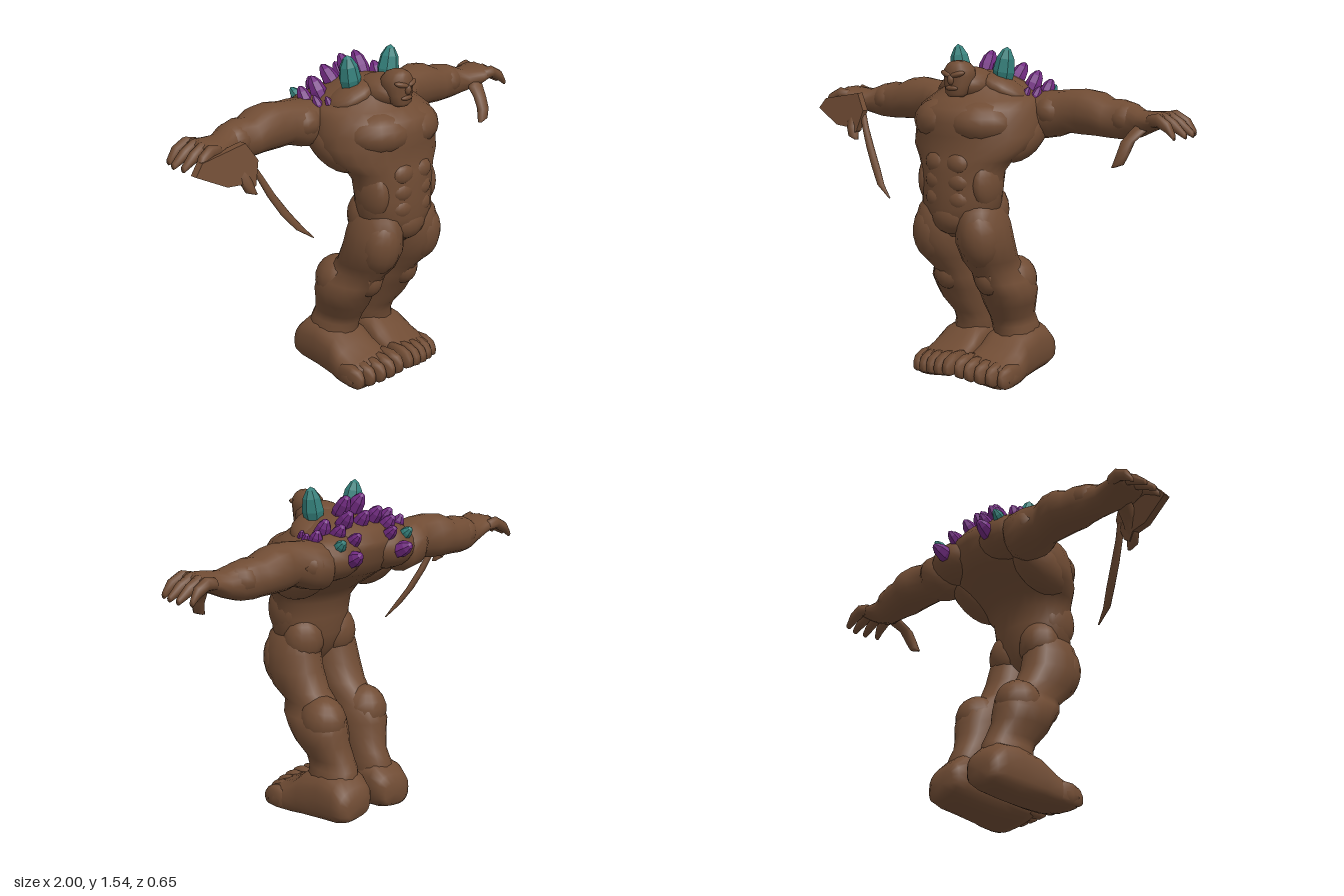
import * as THREE from 'three';

const hide = new THREE.MeshStandardMaterial({ color: 0x704c34 });
hide.name = 'brown hide';
const teal = new THREE.MeshStandardMaterial({ color: 0x34807b });
teal.name = 'teal crystal';
const purple = new THREE.MeshStandardMaterial({ color: 0x722b82 });
purple.name = 'purple crystal';

// Skin over cross-sections [x, y, z, radiusA, radiusB]; radii follow the two axes other than `axis`, in xyz order
function loft(axis, sections, sides = 16, power = 2.2) {
  const pos = [], index = [], n = sections.length;
  const round = (c) => Math.sign(c) * Math.abs(c) ** (2 / power);
  for (const [x, y, z, a, b] of sections) {
    for (let j = 0; j < sides; j++) {
      const t = (j / sides) * Math.PI * 2, c = round(Math.cos(t)), s = round(Math.sin(t));
      if (axis === 'x') pos.push(x, y + a * c, z + b * s);
      else if (axis === 'y') pos.push(x + a * s, y, z + b * c);
      else pos.push(x + a * c, y + b * s, z);
    }
  }
  for (const s of [sections[0], sections[n - 1]]) pos.push(s[0], s[1], s[2]);
  const end = n * sides;
  for (let j = 0; j < sides; j++) {
    const k = (j + 1) % sides;
    for (let i = 0; i < n - 1; i++) {
      const p = i * sides, q = p + sides;
      index.push(p + j, p + k, q + k, p + j, q + k, q + j);
    }
    index.push(end, k, j, end + 1, end - sides + j, end - sides + k);
  }
  const g = new THREE.BufferGeometry();
  g.setAttribute('position', new THREE.Float32BufferAttribute(pos, 3));
  g.setIndex(index);
  g.computeVertexNormals();
  return g;
}

// Muscle bulge: ellipsoid with centre, radii and optional rotation
function bulge(c, r, rot = [0, 0, 0]) {
  const g = new THREE.SphereGeometry(1, 16, 10);
  g.scale(...r);
  g.applyMatrix4(new THREE.Matrix4().makeRotationFromEuler(new THREE.Euler(...rot)));
  g.translate(...c);
  return g;
}

function mirrored(g) {
  const m = g.clone().scale(-1, 1, 1), ix = m.index.array;
  for (let i = 0; i < ix.length; i += 3) [ix[i], ix[i + 1]] = [ix[i + 1], ix[i]];
  m.computeVertexNormals();
  return m;
}

// Faceted crystal centred at p, pointing along d
function crystal(p, d, length, radius) {
  const profile = [[0, -0.5], [0.75, -0.4], [1, -0.05], [0.8, 0.25], [0.4, 0.43], [0, 0.5]]
    .map(([r, y]) => new THREE.Vector2(r * radius, y * length));
  const g = new THREE.LatheGeometry(profile, 7).toNonIndexed();
  g.computeVertexNormals();
  const dir = new THREE.Vector3(...d).normalize();
  g.applyQuaternion(new THREE.Quaternion().setFromUnitVectors(new THREE.Vector3(0, 1, 0), dir));
  g.translate(...p);
  return g;
}

export function createModel() {
  const model = new THREE.Group();
  model.name = 'creature';
  const add = (name, g, mat = hide) => {
    const m = new THREE.Mesh(g, mat);
    m.name = name;
    model.add(m);
  };
  const pair = (name, g) => {
    add(name + 'Left', g);
    add(name + 'Right', mirrored(g));
  };

  // Torso, hunched and flaring into a wide back
  add('torso', loft('y', [
    [0, 0.7, 0.17, 0.05, 0.07], [0, 0.76, 0.175, 0.14, 0.125], [0, 0.84, 0.17, 0.195, 0.15],
    [0, 0.92, 0.167, 0.2, 0.148], [0, 1, 0.16, 0.205, 0.157], [0, 1.05, 0.14, 0.235, 0.168],
    [0, 1.1, 0.1, 0.285, 0.2], [0, 1.16, 0.05, 0.3, 0.25], [0, 1.22, 0.03, 0.295, 0.275],
    [0, 1.28, 0.018, 0.28, 0.272], [0, 1.315, -0.02, 0.255, 0.245], [0, 1.365, -0.03, 0.19, 0.195],
    [0, 1.41, 0, 0.12, 0.13], [0, 1.43, 0.02, 0.06, 0.07]], 24, 2));
  pair('pectoral', bulge([0.11, 1.215, 0.17], [0.155, 0.1, 0.125], [0, 0.6, 0]));
  pair('shoulderBlade', bulge([0.17, 1.26, -0.15], [0.15, 0.105, 0.13]));
  pair('lat', bulge([0.215, 1.15, 0], [0.085, 0.1, 0.17], [0.45, 0, -0.3]));
  pair('oblique', bulge([0.15, 0.95, 0.18], [0.055, 0.12, 0.1]));
  pair('glute', bulge([0.1, 0.82, 0.11], [0.1, 0.12, 0.095]));
  for (const y of [0.88, 0.96, 1.04]) pair('abdominal', bulge([0.055, y, 0.27], [0.065, 0.055, 0.047]));
  add('lowerBelly', bulge([0, 0.8, 0.25], [0.1, 0.085, 0.07]));
  add('neck', bulge([0, 1.38, 0.1], [0.1, 0.073, 0.13], [0.05, 0, 0]));
  pair('trapezius', bulge([0.12, 1.355, 0.02], [0.125, 0.055, 0.1], [0, 0.5, -0.42]));

  // Head with heavy brow and jaw
  add('skull', loft('y', [
    [0, 1.33, 0.21, 0.035, 0.03], [0, 1.345, 0.208, 0.052, 0.044], [0, 1.38, 0.196, 0.062, 0.056],
    [0, 1.42, 0.185, 0.07, 0.07], [0, 1.45, 0.186, 0.066, 0.07], [0, 1.475, 0.19, 0.048, 0.053],
    [0, 1.487, 0.195, 0.025, 0.03]], 16));
  pair('brow', bulge([0.03, 1.432, 0.243], [0.036, 0.013, 0.018], [0, 0.3, 0.25]));
  add('nose', bulge([0, 1.408, 0.252], [0.016, 0.024, 0.016]));
  add('lips', bulge([0, 1.37, 0.246], [0.033, 0.012, 0.014]));

  // Legs with swept-back calves
  pair('leg', loft('y', [
    [0.12, 0.13, -0.115, 0.09, 0.13], [0.115, 0.2, -0.11, 0.1, 0.13], [0.105, 0.25, -0.1, 0.09, 0.128],
    [0.105, 0.29, -0.08, 0.088, 0.127], [0.12, 0.36, -0.04, 0.107, 0.14], [0.125, 0.42, -0.022, 0.119, 0.153],
    [0.12, 0.48, 0.01, 0.112, 0.17], [0.108, 0.53, 0.045, 0.09, 0.155], [0.115, 0.59, 0.11, 0.108, 0.148],
    [0.117, 0.68, 0.155, 0.116, 0.15], [0.113, 0.76, 0.165, 0.111, 0.14], [0.11, 0.83, 0.17, 0.09, 0.125],
    [0.1, 0.89, 0.17, 0.06, 0.08]]));
  pair('calf', bulge([0.13, 0.465, -0.055], [0.105, 0.115, 0.115], [-0.15, 0, 0]));
  pair('quadriceps', bulge([0.13, 0.7, 0.215], [0.095, 0.14, 0.095], [0.2, 0, 0]));
  pair('kneecap', bulge([0.115, 0.505, 0.125], [0.065, 0.085, 0.07], [0.2, 0, 0]));

  // Feet, tilted so the outer edge is lowest
  const tilt = new THREE.Matrix4().set(1, 0, 0, 0, -0.12, 1, 0, 0.016, 0, 0, 1, 0, 0, 0, 0, 1);
  pair('foot', loft('z', [
    [0.12, 0.1, -0.285, 0.07, 0.05], [0.125, 0.112, -0.265, 0.1, 0.078], [0.125, 0.128, -0.215, 0.112, 0.11],
    [0.125, 0.13, -0.12, 0.115, 0.122], [0.13, 0.113, 0, 0.125, 0.11], [0.135, 0.088, 0.06, 0.132, 0.085],
    [0.138, 0.07, 0.14, 0.136, 0.064], [0.138, 0.066, 0.19, 0.13, 0.052]], 20, 2.7).applyMatrix4(tilt));
  for (let i = 0; i < 5; i++) {
    const x = 0.034 + i * 0.052, z = -i * i * 0.003;
    pair('toe', loft('z', [
      [x, 0.08, 0.13 + z, 0.028, 0.048], [x, 0.078, 0.2 + z, 0.03, 0.052], [x, 0.072, 0.24 + z, 0.027, 0.044],
      [x, 0.066, 0.262 + z, 0.016, 0.025]], 10, 2.8).applyMatrix4(tilt));
  }

  // Arms held straight out
  pair('arm', loft('x', [
    [0.18, 1.24, -0.1, 0.08, 0.1], [0.25, 1.235, -0.135, 0.11, 0.13], [0.33, 1.245, -0.135, 0.105, 0.125],
    [0.39, 1.26, -0.125, 0.098, 0.09], [0.46, 1.26, -0.14, 0.103, 0.105], [0.53, 1.255, -0.145, 0.098, 0.11],
    [0.59, 1.24, -0.14, 0.085, 0.1], [0.64, 1.24, -0.145, 0.088, 0.09], [0.7, 1.235, -0.14, 0.08, 0.08],
    [0.76, 1.232, -0.12, 0.058, 0.08], [0.82, 1.247, -0.1, 0.045, 0.098], [0.88, 1.262, -0.1, 0.034, 0.1],
    [0.9, 1.26, -0.1, 0.022, 0.09]]));
  pair('deltoid', bulge([0.31, 1.255, -0.13], [0.1, 0.09, 0.13]));
  pair('forearmMuscle', bulge([0.67, 1.245, -0.14], [0.09, 0.075, 0.09]));

  // Fingers and drooping thumb
  [-0.178, -0.13, -0.08, -0.028].forEach((z, i) => {
    const tip = [0.975, 0.998, 0.995, 0.975][i], e = (i - 1.5) * 0.008;
    pair('finger', loft('x', [
      [0.84, 1.258, z, 0.026, 0.026], [0.89, 1.266, z + e / 2, 0.03, 0.027],
      [0.945, 1.238, z + e, 0.028, 0.024], [tip, 1.202, z + e * 1.5, 0.015, 0.014]], 8));
  });
  pair('thumb', loft('y', [
    [0.722, 1.06, 0.06, 0.009, 0.009], [0.745, 1.075, 0.055, 0.027, 0.02], [0.76, 1.12, 0.042, 0.03, 0.025],
    [0.767, 1.17, 0.015, 0.032, 0.028], [0.79, 1.215, -0.04, 0.04, 0.035], [0.8, 1.24, -0.06, 0.03, 0.03]], 8));

  // Ragged blade and long tendril on the right hand
  const edge = [[-1, 1.19], [-0.93, 1.155], [-0.86, 1.12], [-0.78, 1.115], [-0.75, 1.08], [-0.72, 1.1],
    [-0.69, 1.2], [-0.74, 1.28], [-0.96, 1.24]].map(([x, y]) => new THREE.Vector2(x, y));
  const blade = new THREE.ExtrudeGeometry(new THREE.Shape(edge), { depth: 0.035, bevelEnabled: false });
  blade.applyMatrix4(new THREE.Matrix4().set(1, 0, 0, 0, 0, 1, 0, 0, 0.1, -0.2, 1, 0.32, 0, 0, 0, 1));
  blade.computeVertexNormals();
  add('handBlade', blade);
  add('tendril', loft('y', [
    [-0.46, 0.81, 0.13, 0.004, 0.004], [-0.525, 0.865, 0.115, 0.022, 0.01], [-0.58, 0.94, 0.085, 0.025, 0.012],
    [-0.635, 1.03, 0.06, 0.022, 0.014], [-0.68, 1.12, 0.04, 0.017, 0.014], [-0.71, 1.18, 0.02, 0.015, 0.014]], 8));

  // Crystals along the shoulders and back: centre, direction, length, radius
  const tealSpikes = [
    [[0.122, 1.445, 0.015], [0.16, 1, 0], 0.2, 0.051], [[0.2, 1.315, -0.235], [0.1, 0.6, -0.7], 0.12, 0.03]];
  const purpleSpikes = [
    [[0.148, 1.265, -0.275], [0.1, 0.4, -0.8], 0.13, 0.038], [[0.25, 1.34, -0.14], [0.15, 1, -0.5], 0.12, 0.034],
    [[0.19, 1.37, -0.12], [0.1, 1, -0.6], 0.14, 0.039], [[0.24, 1.325, -0.065], [0.2, 1, -0.5], 0.09, 0.023],
    [[0.04, 1.445, -0.085], [0.1, 1, -0.7], 0.16, 0.041], [[0.085, 1.4, -0.15], [0.1, 1, -0.9], 0.15, 0.039],
    [[0.15, 1.36, -0.175], [0.1, 0.9, -0.8], 0.13, 0.036], [[0.11, 1.335, -0.235], [0, 0.6, -0.7], 0.11, 0.03],
    [[0.22, 1.335, -0.015], [0.2, 1, -0.4], 0.07, 0.018]];
  for (const [list, name, mat] of [[tealSpikes, 'tealCrystal', teal], [purpleSpikes, 'purpleCrystal', purple]]) {
    for (const [p, d, length, radius] of list) {
      for (const s of [1, -1]) {
        add(name, crystal([p[0] * s, p[1], p[2]], [d[0] * s, d[1], d[2]], length, radius), mat);
      }
    }
  }
  add('purpleCrystal', crystal([0, 1.395, -0.165], [0, 1, -0.8], 0.14, 0.036), purple);

  return model;
}
